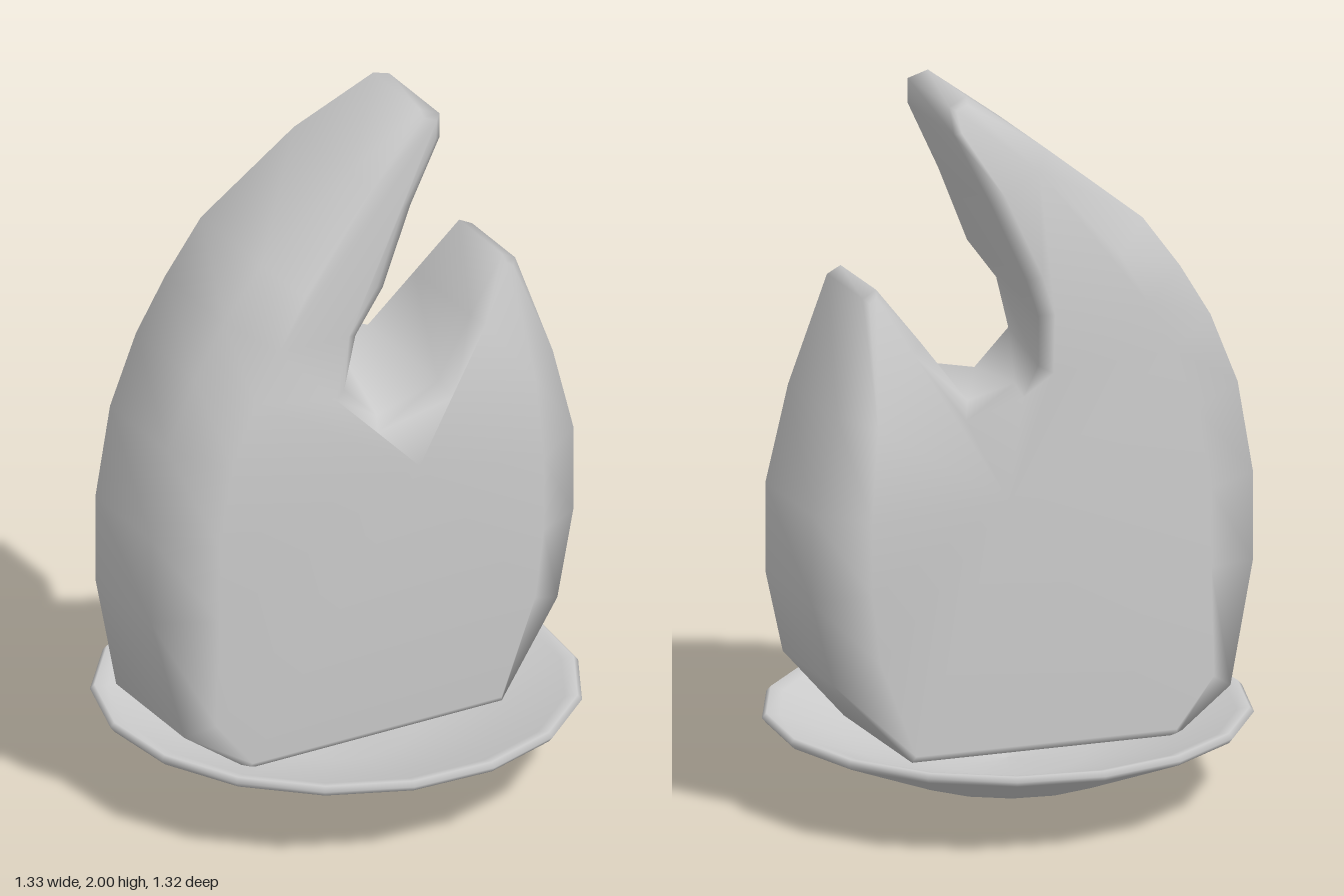
import * as THREE from 'three';

// Flame outline, counter-clockwise from the bottom: x, y, bevel width, front z and back z of the edge
const OUTLINE = [
  [-0.40, 0.17, 0.02, 0.23, -0.23],
  [0.38, 0.19, 0.02, 0.23, -0.23],
  [0.59, 0.42, 0.13, 0.16, -0.18],
  [0.65, 0.66, 0.15, 0.14, -0.17],
  [0.65, 0.91, 0.15, 0.14, -0.17],
  [0.57, 1.17, 0.10, 0.17, -0.16],
  [0.46, 1.47, 0.02, 0.16, -0.08],
  [0.42, 1.49, 0.02, 0.16, -0.08],
  [0.31, 1.34, 0.04, 0.18, -0.13],
  [0.20, 1.18, 0.05, 0.20, -0.19],
  [0.00, 1.13, 0.04, 0.22, -0.21],
  [-0.10, 1.23, 0.04, 0.22, -0.21],
  [-0.06, 1.38, 0.04, 0.21, -0.21],
  [0.03, 1.50, 0.04, 0.20, -0.20],
  [0.12, 1.72, 0.04, 0.19, -0.16],
  [0.205, 1.91, 0.02, 0.20, -0.11],
  [0.205, 1.98, 0.02, 0.20, -0.08],
  [0.15, 2.00, 0.02, 0.19, -0.07],
  [-0.05, 1.85, 0.06, 0.17, -0.15],
  [-0.32, 1.63, 0.12, 0.16, -0.18],
  [-0.43, 1.48, 0.14, 0.15, -0.18],
  [-0.52, 1.33, 0.15, 0.15, -0.18],
  [-0.60, 1.13, 0.15, 0.14, -0.18],
  [-0.645, 0.87, 0.15, 0.13, -0.18],
  [-0.645, 0.62, 0.15, 0.13, -0.18],
  [-0.57, 0.28, 0.08, 0.18, -0.20],
];
// The notch is narrower at the back: shift of its rear points
const BACK_SHIFT = { 10: [0.07, 0.09], 11: [0.10, 0.03], 12: [0.06, 0.02] };

// Regions of each broad face: body fan and the two tongues
const BODY = [0, 1, 2, 3, 4, 5, 8, 9, 10, 11, 21, 22, 23, 24, 25];
const TONGUES = [[5, 6, 7, 8], [11, 12, 13, 14, 15, 16, 17, 18, 19, 20, 21]];

function flameGeometry() {
  const n = OUTLINE.length;
  const at = (i, back) => {
    const s = (back && BACK_SHIFT[i]) || [0, 0];
    return new THREE.Vector2(OUTLINE[i][0] + s[0], OUTLINE[i][1] + s[1]);
  };
  // Point moved inwards along the mean normal of its two edges
  const insetAt = (i, back) => {
    const p = at(i, back);
    const a = p.clone().sub(at((i + n - 1) % n, back)).normalize();
    const b = at((i + 1) % n, back).sub(p).normalize();
    const t = a.add(b).normalize();
    return p.add(new THREE.Vector2(-t.y, t.x).multiplyScalar(OUTLINE[i][2]));
  };

  // Four rings from back to front: back face, back edge, front edge, front face
  const pos = [];
  const rings = [[], [], [], []];
  for (let r = 0; r < 4; r++) {
    const back = r < 2;
    for (let i = 0; i < n; i++) {
      const [, , w, zf, zb] = OUTLINE[i];
      const face = r === 0 || r === 3;
      const p = face ? insetAt(i, back) : at(i, back);
      const z = back
        ? (face ? Math.max(-0.24, zb - w * 0.6) : zb)
        : (face ? Math.min(0.245, zf + w * 0.75) : zf);
      rings[r].push(p);
      pos.push(p.x, p.y, z);
    }
  }
  pos.push(0.1, 0.9, -0.24, 0.1, 0.98, 0.28);

  const index = [];
  // Sides and bevels
  for (let r = 0; r < 3; r++) {
    for (let i = 0; i < n; i++) {
      const j = (i + 1) % n;
      const a = r * n + i, b = r * n + j;
      index.push(a, b, b + n, a, b + n, a + n);
    }
  }
  // Broad faces
  for (const [r, centre] of [[0, 4 * n], [3, 4 * n + 1]]) {
    const add = (a, b, c) => (r === 3 ? index.push(a, b, c) : index.push(a, c, b));
    BODY.forEach((p, k) => add(centre, r * n + p, r * n + BODY[(k + 1) % BODY.length]));
    for (const tongue of TONGUES) {
      const contour = tongue.map((i) => rings[r][i]);
      for (const [a, b, c] of THREE.ShapeUtils.triangulateShape(contour, [])) {
        add(r * n + tongue[a], r * n + tongue[b], r * n + tongue[c]);
      }
    }
  }

  const geometry = new THREE.BufferGeometry();
  geometry.setAttribute('position', new THREE.Float32BufferAttribute(pos, 3));
  geometry.setIndex(index);
  geometry.computeVertexNormals();
  return geometry;
}

export function createModel() {
  const group = new THREE.Group();
  const material = new THREE.MeshStandardMaterial({ color: 0xcccccc, side: THREE.DoubleSide });

  // Shallow dish with a thin rolled rim
  const profile = [
    [0, 0], [0.1, 0.015], [0.32, 0.075], [0.5, 0.15], [0.655, 0.215],
    [0.667, 0.23], [0.655, 0.243], [0.62, 0.235], [0.45, 0.17], [0.22, 0.11], [0, 0.09],
  ].map(([x, y]) => new THREE.Vector2(x, y));
  const dish = new THREE.Mesh(new THREE.LatheGeometry(profile, 17, Math.PI / 17), material);
  dish.name = 'dish';

  // Two-tongued flame standing in the dish
  const flame = new THREE.Mesh(flameGeometry(), material);
  flame.name = 'flame';

  group.add(dish, flame);
  return group;
}
